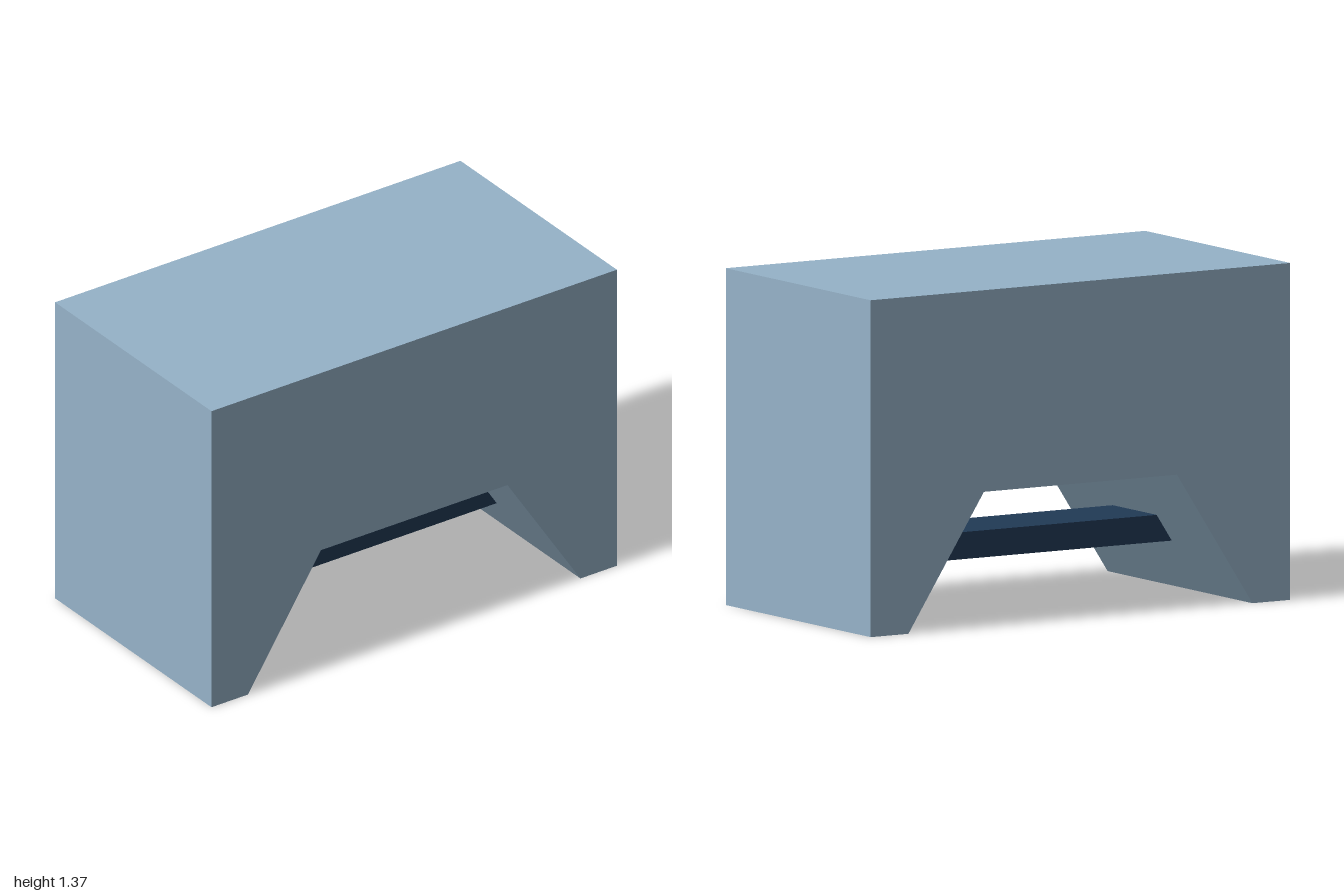
import * as THREE from 'three';

export function createModel() {
  const group = new THREE.Group();
  const paleBlue = new THREE.MeshStandardMaterial({ color: 0x96b3c9 });
  paleBlue.name = 'paleBlue';
  const navy = new THREE.MeshStandardMaterial({ color: 0x213a56 });
  navy.name = 'navy';

  // solid block with a trapezoid opening cut through from front to back
  const depth = 1.09;
  const profile = new THREE.Shape([
    [-1, 0], [-0.82, 0], [-0.46, 0.55], [0.46, 0.55],
    [0.82, 0], [1, 0], [1, 1.37], [-1, 1.37],
  ].map(([x, y]) => new THREE.Vector2(x, y)));
  const bodyGeometry = new THREE.ExtrudeGeometry(profile, { depth, bevelEnabled: false });
  bodyGeometry.translate(0, 0, -depth / 2);
  const body = new THREE.Mesh(bodyGeometry, paleBlue);
  body.name = 'body';
  group.add(body);

  // crossbar between the legs, its ends sunk into them
  const crossbar = new THREE.Mesh(new THREE.BoxGeometry(1.46, 0.11, 0.33), navy);
  crossbar.name = 'crossbar';
  crossbar.position.y = 0.275;
  group.add(crossbar);

  return group;
}
